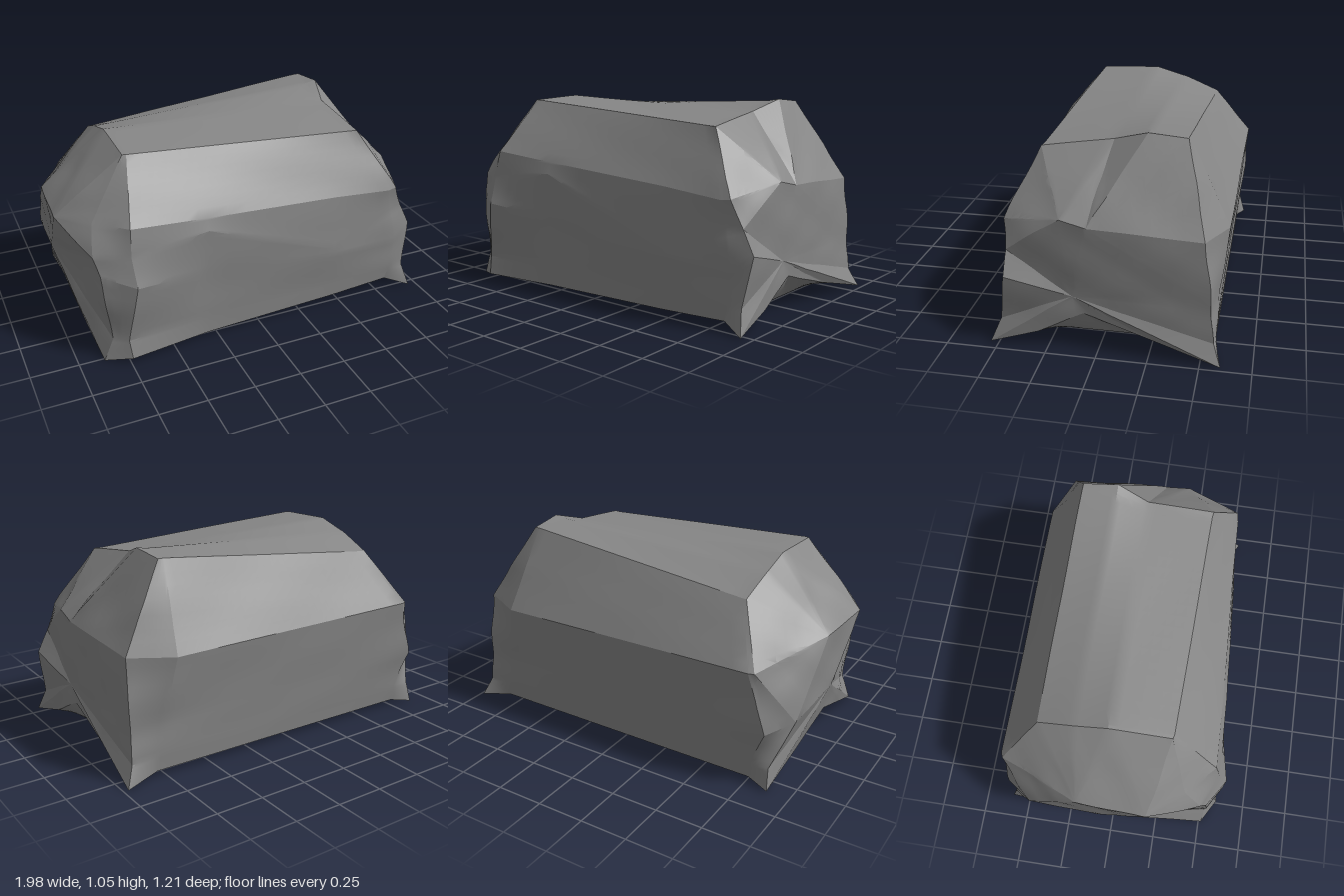
import * as THREE from 'three';
import { toCreasedNormals } from 'three/addons/utils/BufferGeometryUtils.js';

const N = 7; // subdivisions of each cloth panel
const lerp = (a, b, t) => a.map((v, i) => v + (b[i] - v) * t);

// Soft creases in the cloth, a little stronger towards the gathered ends
function wrinkle([x, y, z]) {
  const amp = (0.001 + 0.0025 * THREE.MathUtils.smoothstep(Math.abs(x), 0.6, 0.9)) * THREE.MathUtils.smoothstep(y, 0.04, 0.25);
  const w = amp * (Math.sin(7 * x + 19 * y - 11 * z) + 0.6 * Math.sin(23 * y + 17 * z - 5 * x));
  return [x + (Math.abs(x) > 0.8 ? w * 0.7 * Math.sign(x) : 0), y + w * 0.5, z + w * Math.sign(z)];
}

// One panel between four corners, counter-clockwise from outside
function patch(out, a, b, c, d, flip = false) {
  const at = (i, j) => wrinkle(lerp(lerp(a, b, i / N), lerp(d, c, i / N), j / N));
  const tri = (p, q, r) => out.push(...p, ...(flip ? r : q), ...(flip ? q : r));
  for (let j = 0; j < N; j++) for (let i = 0; i < N; i++) {
    const p = at(i, j), q = at(i + 1, j), r = at(i + 1, j + 1), s = at(i, j + 1);
    tri(p, q, r);
    if (c !== d || j < N - 1) tri(p, r, s);
  }
}

// Lengthwise rail: end point, four stations along a straight run, end point
function rail(start, from, to, end) {
  return [start, ...[0, 0.4, 0.77, 1].map((t) => lerp(from, to, t)), end];
}

// Front rails from the hem up to the shoulder, with the diagonal fold
const front = [
  [[-0.87, 0.005, 0.515], [-0.74, 0.03, 0.59], [-0.3, 0.03, 0.53], [0.45, 0.04, 0.5], [0.82, 0.05, 0.48], [0.95, 0.01, 0.54]],
  [[-0.82, 0.13, 0.52], [-0.75, 0.13, 0.57], [-0.3, 0.13, 0.53], [0.45, 0.13, 0.505], [0.84, 0.13, 0.485], [0.92, 0.13, 0.49]],
  [[-0.86, 0.5, 0.51], [-0.7, 0.45, 0.605], [-0.3, 0.41, 0.535], [0.45, 0.335, 0.525], [0.85, 0.3, 0.49], [0.96, 0.38, 0.455]],
  [[-0.88, 0.59, 0.47], [-0.71, 0.6, 0.55], [-0.3, 0.65, 0.54], [0.45, 0.36, 0.525], [0.81, 0.48, 0.475], [0.9, 0.5, 0.455]],
  [[-0.85, 0.735, 0.38], [-0.7, 0.74, 0.525], [-0.3, 0.71, 0.515], [0.45, 0.66, 0.49], [0.79, 0.63, 0.485], [0.84, 0.635, 0.475]],
];
// Roof rails from the front edge to the back edge, which drops to the left
const roof = [
  rail([-0.65, 1.02, 0.28], [-0.63, 1.02, 0.285], [0.62, 0.95, 0.325], [0.65, 0.95, 0.33]),
  rail([-0.65, 1.03, -0.04], [-0.63, 1.03, -0.04], [0.6, 1.0, -0.025], [0.63, 1.0, -0.03]),
  rail([-0.65, 0.98, -0.22], [-0.63, 0.98, -0.22], [0.62, 1.045, -0.2], [0.68, 1.055, -0.2]),
  rail([-0.64, 0.905, -0.41], [-0.62, 0.905, -0.41], [0.64, 1.035, -0.39], [0.67, 1.035, -0.39]),
];
// Back rails from the ledge down to the hem
const back = [
  rail([-0.79, 0.625, -0.595], [-0.76, 0.625, -0.605], [0.7, 0.615, -0.605], [0.92, 0.625, -0.505]),
  rail([-0.955, 0.35, -0.46], [-0.85, 0.31, -0.59], [0.76, 0.3, -0.57], [0.93, 0.3, -0.545]),
  rail([-0.87, 0.12, -0.57], [-0.77, 0.12, -0.57], [0.78, 0.12, -0.565], [0.935, 0.11, -0.56]),
  rail([-0.88, 0.01, -0.6], [-0.76, 0.03, -0.56], [0.8, 0.04, -0.56], [0.98, 0.01, -0.6]),
];
const rails = [...front, ...roof, ...back];

function loft(list) {
  const out = [];
  for (let r = 0; r < list.length - 1; r++)
    for (let c = 0; c < 5; c++)
      patch(out, list[r][c], list[r][c + 1], list[r + 1][c + 1], list[r + 1][c]);
  return out;
}

// Gathered end: panels radiate from three peaks to the rim
function gatheredEnd(rim, peaks, owner, flip) {
  const out = [];
  rim.forEach((p, i) => {
    const k = (i + 1) % rim.length, q = rim[k], a = peaks[owner[i]], b = peaks[owner[k]];
    patch(out, p, q, a, a, flip);
    if (a !== b) patch(out, a, q, b, b, flip);
  });
  patch(out, peaks[0], peaks[1], peaks[2], peaks[2], flip);
  return out;
}

// Underside of the raised hem at one end
function hemUnderside(edge, innerBack, innerFront, flip) {
  const out = [];
  const inner = [0, 0.22, 0.5, 0.78, 1].map((t) => lerp(innerBack, innerFront, t));
  for (let i = 0; i < 4; i++) patch(out, edge[i], inner[i], inner[i + 1], edge[i + 1], flip);
  return out;
}

export function createModel() {
  const model = new THREE.Group();
  model.name = 'coveredCrate';
  const cloth = new THREE.MeshStandardMaterial({ color: 0x868686, side: THREE.DoubleSide });
  cloth.name = 'greyCloth';

  function add(name, positions) {
    const geometry = new THREE.BufferGeometry();
    geometry.setAttribute('position', new THREE.Float32BufferAttribute(positions, 3));
    const mesh = new THREE.Mesh(toCreasedNormals(geometry, 0.3), cloth);
    mesh.name = name;
    model.add(mesh);
  }

  // Long sides and roof
  add('frontCover', loft([...front, roof[0]]));
  add('roofCover', loft(roof));
  add('backCover', loft([roof[3], ...back]));

  // Ends: the rim follows the rails, then returns along the raised hem
  const hemFront = front[0], hemBack = back[3];
  const owner = [2, 2, 2, 0, 0, 0, 1, 1, 1, 1, 2, 2, 2, 2, 2, 2];
  const ends = [
    {
      side: 'right', tip: 5, inner: 4, flip: true,
      hem: [[0.935, 0.09, -0.28], [0.92, 0.2, 0.07], [0.93, 0.08, 0.3]],
      peaks: [[0.93, 0.69, 0.18], [0.94, 0.66, 0.05], [0.925, 0.29, 0.13]],
    },
    {
      side: 'left', tip: 0, inner: 1, flip: false,
      hem: [[-0.9, 0.1, -0.33], [-0.93, 0.22, -0.04], [-0.9, 0.1, 0.28]],
      peaks: [[-1, 0.71, 0.2], [-0.975, 0.7, -0.17], [-0.97, 0.385, -0.07]],
    },
  ];
  for (const { side, tip, inner, flip, hem, peaks } of ends) {
    add(side + 'End', gatheredEnd([...rails.map((r) => r[tip]), ...hem], peaks, owner, flip));
    add(side + 'Hem', hemUnderside([hemBack[tip], ...hem, hemFront[tip]], hemBack[inner], hemFront[inner], flip));
  }

  // Underside
  const floor = [];
  for (let c = 1; c < 4; c++) patch(floor, hemBack[c], hemBack[c + 1], hemFront[c + 1], hemFront[c]);
  add('floor', floor);
  return model;
}
